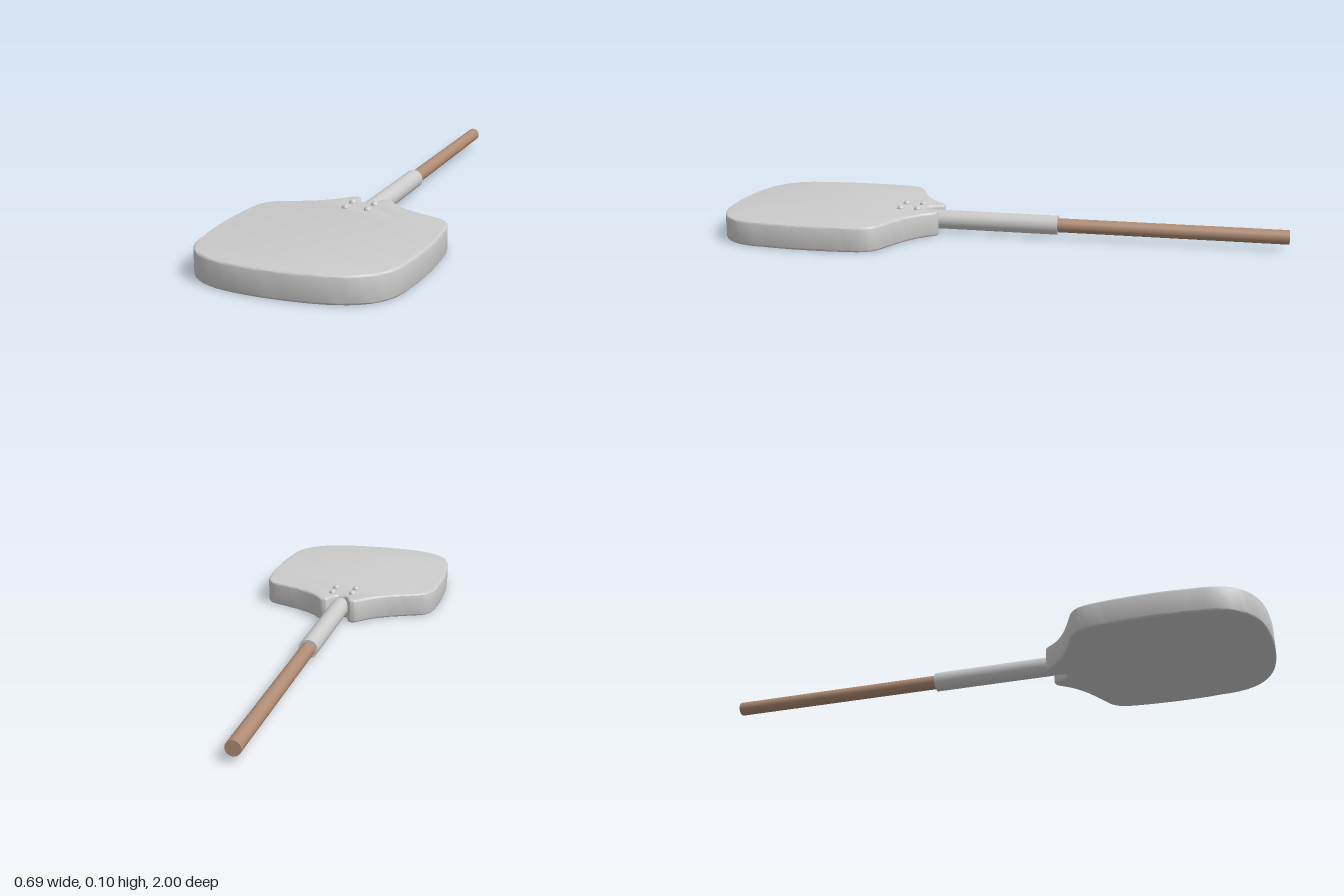
import * as THREE from 'three';
import { toCreasedNormals } from 'three/addons/utils/BufferGeometryUtils.js';

const HEIGHT = 0.088; // blade thickness
const AXIS_Y = 0.046; // handle centre line

export function createModel() {
  const model = new THREE.Group();
  const metal = new THREE.MeshStandardMaterial({ color: 0xcccccc });
  const wood = new THREE.MeshStandardMaterial({ color: 0xb08c74 });

  const add = (name, geometry, material) => {
    const mesh = new THREE.Mesh(geometry, material);
    mesh.name = name;
    model.add(mesh);
    return mesh;
  };

  // Half outline of the blade (x, z), from the front edge round to the socket notch:
  // each row holds two control points and an end point
  const segments = [
    [0.21, 1, 0.333, 0.955, 0.335, 0.78],
    [0.348, 0.7, 0.348, 0.58, 0.34, 0.49],
    [0.335, 0.42, 0.325, 0.39, 0.28, 0.37],
    [0.2, 0.335, 0.13, 0.31, 0.085, 0.25],
    [0.07, 0.228, 0.06, 0.228, 0.05, 0.228],
    [0.04, 0.23, 0.036, 0.24, 0.032, 0.255],
    [0.025, 0.28, 0.01, 0.285, 0, 0.285],
  ];
  const path = new THREE.Path().moveTo(0, 1);
  segments.forEach((s) => path.bezierCurveTo(...s));
  const half = path.getPoints(14);
  const mirrored = half.slice(1, -1).reverse().map((p) => new THREE.Vector2(-p.x, p.y));

  // Blade: thick plate with softly rounded rims
  const bevel = 0.007;
  const blade = new THREE.ExtrudeGeometry(new THREE.Shape([...half, ...mirrored]), {
    depth: HEIGHT - 2 * bevel,
    bevelThickness: bevel,
    bevelSize: bevel,
    bevelOffset: -bevel,
    bevelSegments: 3,
  });
  blade.rotateX(Math.PI / 2).translate(0, HEIGHT - bevel, 0);
  add('blade', toCreasedNormals(blade, 0.7), metal);

  // Rods along z: the metal socket and the wooden handle inside it
  const rod = (name, radius, z0, z1, material) => {
    const geometry = new THREE.CylinderGeometry(radius, radius, z1 - z0, 32);
    geometry.rotateX(Math.PI / 2).translate(0, AXIS_Y, (z0 + z1) / 2);
    add(name, geometry, material);
  };
  rod('socket', 0.034, -0.2, 0.28, metal);
  rod('handle', 0.025, -1, -0.15, wood);

  // Four domed rivets
  for (const x of [-0.039, 0.039]) {
    for (const z of [0.308, 0.371]) {
      const dome = new THREE.SphereGeometry(0.0135, 20, 12);
      add('rivet', dome, metal).position.set(x, HEIGHT - 0.001, z);
    }
  }

  return model;
}
